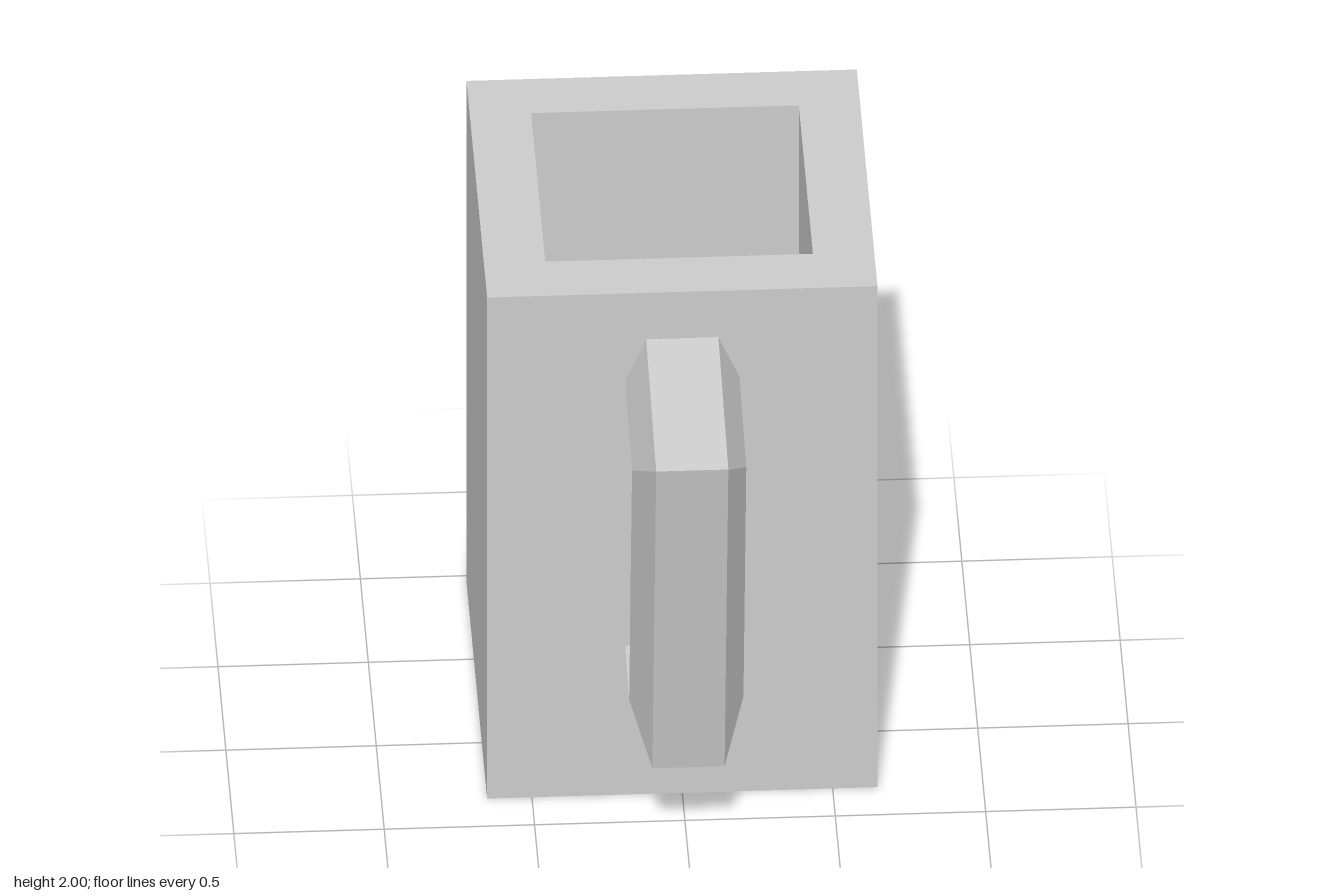
import * as THREE from 'three';

const material = new THREE.MeshStandardMaterial({ color: 0xcccccc, flatShading: true, side: THREE.DoubleSide });

// Square cup: a four-sided lathe gives outer walls, rim, inner walls and floor
function createCup() {
  const outer = 0.649 * Math.SQRT2, inner = 0.445 * Math.SQRT2, floor = 0.2;
  const profile = [[0, 0], [outer, 0], [outer, 2], [inner, 2], [inner, floor], [0, floor]]
    .map(([r, y]) => new THREE.Vector2(r, y));
  const cup = new THREE.Mesh(new THREE.LatheGeometry(profile, 4, Math.PI / 4), material);
  cup.name = 'cup';
  cup.position.z = -0.314;
  return cup;
}

// Handle: a five-sided section swept through mitred corners, point facing the cup
function createHandle() {
  // [z, y] of the outer face, side edges and inner edge at each station
  const stations = [
    [[0.335, 1.815], [0.335, 1.655], [0.335, 1.56]],
    [[0.963, 1.705], [0.766, 1.58], [0.65, 1.505]],
    [[0.725, 0.362], [0.588, 0.547], [0.50, 0.66]],
    [[0.335, 0.43], [0.335, 0.59], [0.335, 0.688]],
  ];
  const rings = stations.map(([out, mid, inn]) =>
    [[-0.12, out], [0.12, out], [0.19, mid], [0, inn], [-0.19, mid]].map(([x, [z, y]]) => [x, y, z]));
  const positions = [];
  for (let i = 0; i < rings.length - 1; i++) {
    for (let j = 0; j < 5; j++) {
      const k = (j + 1) % 5;
      const a = rings[i][j], b = rings[i][k], c = rings[i + 1][j], d = rings[i + 1][k];
      positions.push(...a, ...c, ...b, ...b, ...c, ...d);
    }
  }
  const geometry = new THREE.BufferGeometry();
  geometry.setAttribute('position', new THREE.Float32BufferAttribute(positions, 3));
  geometry.computeVertexNormals();
  const handle = new THREE.Mesh(geometry, material);
  handle.name = 'handle';
  return handle;
}

export function createModel() {
  const group = new THREE.Group();
  group.name = 'mug';
  group.add(createCup(), createHandle());
  return group;
}
